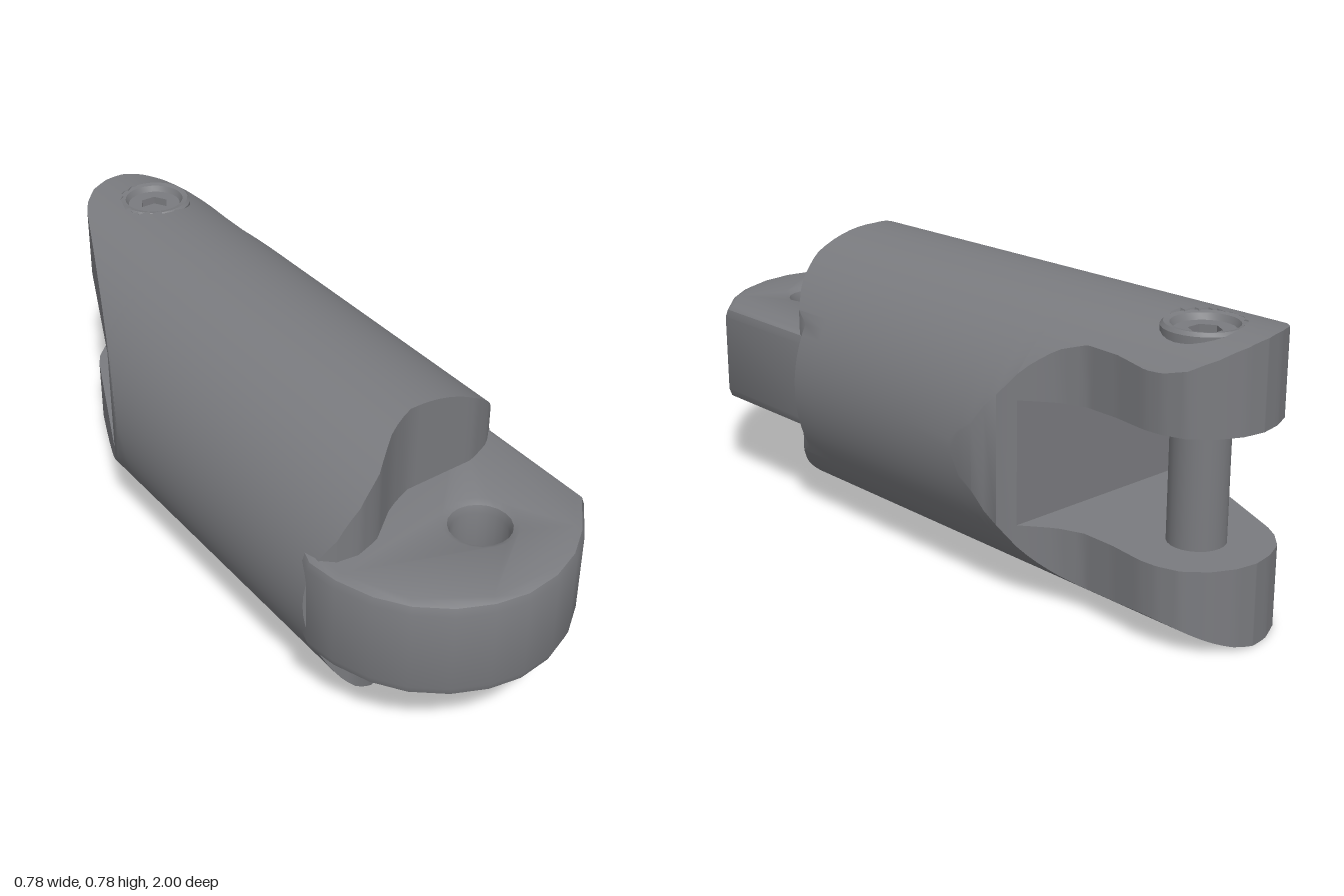
import * as THREE from 'three';
import { toCreasedNormals } from 'three/addons/utils/BufferGeometryUtils.js';

const R = 0.39, CY = 0.39, PIN_X = 0.05, PIN_Z = -0.81;

// Plan outline, [z, x] on each side, and the curved front edge, [x, z]
const LEFT = [[-1, 0.05], [-0.99, -0.01], [-0.965, -0.07], [-0.92, -0.115], [-0.88, -0.14], [-0.31, -0.39]];
const RIGHT = [[-1, 0.05], [-0.99, 0.11], [-0.96, 0.17], [-0.91, 0.22], [-0.85, 0.24], [-0.8, 0.243],
  [-0.7, 0.23], [-0.6, 0.228], [-0.53, 0.255], [-0.47, 0.3], [-0.41, 0.35], [-0.35, 0.38], [-0.28, 0.39]];
const FRONT = [[-0.39, 0.6], [-0.33, 0.655], [-0.27, 0.662], [-0.2, 0.64], [-0.1, 0.56], [-0.02, 0.522],
  [0.2, 0.515], [0.28, 0.48], [0.33, 0.43], [0.34, 0.38], [0.39, 0.38]];

function lookup(table, v) {
  if (v <= table[0][0]) return table[0][1];
  for (let i = 1; i < table.length; i++) {
    const [a, p] = table[i - 1], [b, q] = table[i];
    if (v <= b) return p + (q - p) * (v - a) / (b - a);
  }
  return table[table.length - 1][1];
}

const halfHeight = (x) => Math.sqrt(Math.max(0, R * R - x * x));
const roundTop = (x) => CY + halfHeight(x);
const roundBottom = (x) => CY - halfHeight(x);

// Solid between a top and a bottom surface, lofted along z inside the plan outline
function loft(stations, top, bottom, frontEdge) {
  const n = 40, m = 2 * n, pos = [], idx = [];
  stations.forEach((z, i) => {
    const xl = lookup(LEFT, z), xr = lookup(RIGHT, z);
    const last = frontEdge && i === stations.length - 1;
    for (let j = 0; j < m; j++) {
      const k = j < n ? j : m - 1 - j;
      const x = xl + (xr - xl) * (1 - Math.cos(Math.PI * k / (n - 1))) / 2;
      pos.push(x, (j < n ? top : bottom)(x, z), last ? lookup(FRONT, x) : z);
    }
  });
  const end = (stations.length - 1) * m;
  for (let i = 0; i < end; i += m) {
    for (let j = 0; j < m; j++) {
      const a = i + j, b = i + (j + 1) % m;
      idx.push(a, a + m, b, b, a + m, b + m);
    }
  }
  for (let j = 0; j < n - 1; j++) {
    const t0 = j, t1 = j + 1, b0 = m - 1 - j, b1 = m - 2 - j;
    idx.push(b0, t1, b1, b0, t0, t1);
    idx.push(end + b0, end + b1, end + t1, end + b0, end + t1, end + t0);
  }
  const g = new THREE.BufferGeometry();
  g.setAttribute('position', new THREE.Float32BufferAttribute(pos, 3));
  g.setIndex(idx);
  return toCreasedNormals(g, 0.6);
}

export function createModel() {
  const group = new THREE.Group();
  const steel = new THREE.MeshStandardMaterial({ color: 0x7a7b7f });
  steel.name = 'grey steel';
  const add = (name, geometry, x = 0, y = 0, z = 0) => {
    const mesh = new THREE.Mesh(geometry, steel);
    mesh.name = name;
    mesh.position.set(x, y, z);
    group.add(mesh);
    return mesh;
  };

  // Round barrel with a wavy front edge
  add('body', loft([-0.45, -0.41, -0.38, -0.35, -0.31, -0.28, -0.1, 0.1, 0.3, 0.5], roundTop, roundBottom, true));

  // Fork arms; the upper one is counterbored for the bolt
  const armStations = [];
  for (let i = 0; i <= 40; i++) armStations.push(-0.45 - 0.55 * Math.sin(Math.PI / 2 * (1 - i / 40)));
  const boredTop = (x, z) =>
    Math.hypot(x - PIN_X, z - PIN_Z) < 0.093 ? 0.735 : roundTop(x);
  add('upperForkArm', loft(armStations, boredTop, () => 0.55));
  add('lowerForkArm', loft(armStations, () => 0.22, roundBottom));

  // Pin across the fork, with a rimmed head and a hex socket
  add('pin', new THREE.CylinderGeometry(0.075, 0.075, 0.36, 24), PIN_X, 0.385, PIN_Z);
  const rim = [[0.108, 0.72], [0.108, 0.768], [0.1, 0.777], [0.085, 0.774], [0.075, 0.755], [0.05, 0.755]]
    .reverse().map(([r, y]) => new THREE.Vector2(r, y));
  const rimMesh = add('boltRim', toCreasedNormals(new THREE.LatheGeometry(rim.reverse(), 28), 0.6), PIN_X, 0, PIN_Z);
  rimMesh.geometry.computeBoundingSphere();
  const head = new THREE.Shape().absarc(0, 0, 0.08, 0, Math.PI * 2);
  const socket = new THREE.Path();
  for (let i = 0; i < 6; i++) {
    const a = -i * Math.PI / 3;
    socket[i ? 'lineTo' : 'moveTo'](0.042 * Math.cos(a), 0.042 * Math.sin(a));
  }
  socket.closePath();
  head.holes.push(socket);
  const headGeo = new THREE.ExtrudeGeometry(head, { depth: 0.022, bevelEnabled: false, curveSegments: 14 });
  add('boltHead', headGeo.rotateX(-Math.PI / 2), PIN_X, 0.736, PIN_Z);

  // Front tongue with a dished eye, outline as [x, z]
  const outline = [[-0.355, 0.3], [-0.365, 0.55], [-0.385, 0.61], [-0.372, 0.7], [-0.335, 0.8], [-0.28, 0.88],
    [-0.2, 0.945], [-0.11, 0.985], [-0.02, 1], [0.08, 0.987], [0.17, 0.95], [0.25, 0.89], [0.34, 0.79], [0.34, 0.3]];
  const tongue = new THREE.Shape(outline.map(([x, z]) => new THREE.Vector2(x, -z)));
  tongue.holes.push(new THREE.Path().absarc(0.05, -0.73, 0.075, 0, Math.PI * 2, true));
  const tongueGeo = new THREE.ExtrudeGeometry(tongue, {
    depth: 0.225, bevelThickness: 0.03, bevelSize: 0.024, bevelOffset: -0.024, bevelSegments: 2, curveSegments: 10,
  });
  add('tongue', toCreasedNormals(tongueGeo.rotateX(-Math.PI / 2), 0.75), 0, 0.28, 0);

  return group;
}
